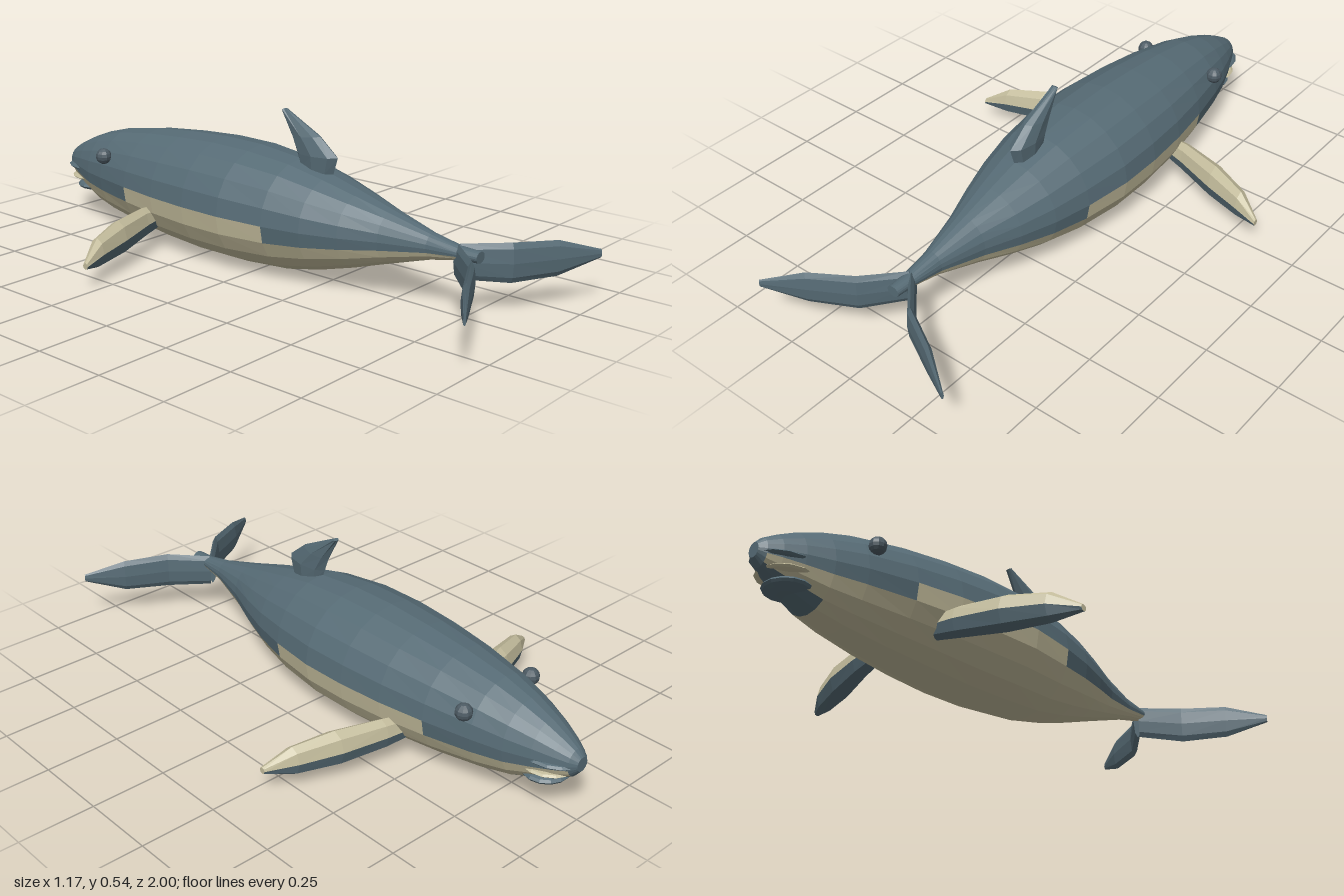
import * as THREE from 'three';

const mat = (name, color) => {
  const m = new THREE.MeshStandardMaterial({ color, flatShading: true });
  m.name = name;
  return m;
};

// Skin a list of closed rings of Vector3; pick(i, j) gives the material index of a facet.
function loft(name, rings, mats, pick = () => 0) {
  const buckets = mats.map(() => []);
  const n = rings[0].length;
  for (let i = 0; i < rings.length - 1; i++) {
    for (let j = 0; j < n; j++) {
      const k = (j + 1) % n;
      const [a, b, c, d] = [rings[i][j], rings[i][k], rings[i + 1][k], rings[i + 1][j]];
      buckets[pick(i, j)].push([a, b, c], [a, c, d]);
    }
  }
  const last = rings[rings.length - 1];
  for (let j = 1; j < n - 1; j++) {
    buckets[0].push([rings[0][0], rings[0][j + 1], rings[0][j]], [last[0], last[j], last[j + 1]]);
  }
  // Turn every facet outward according to the sign of the enclosed volume
  const volume = buckets.flat().reduce((s, [a, b, c]) => s + a.dot(b.clone().cross(c)), 0);
  const points = [];
  const geo = new THREE.BufferGeometry();
  buckets.forEach((tris, m) => {
    geo.addGroup(points.length, tris.length * 3, m);
    tris.forEach(([a, b, c]) => points.push(a, ...(volume > 0 ? [b, c] : [c, b])));
  });
  geo.setFromPoints(points);
  geo.computeVertexNormals();
  const mesh = new THREE.Mesh(geo, mats);
  mesh.name = name;
  return mesh;
}

// Ring of n points; place(cos, sin) maps the unit circle into space.
const ring = (n, place) => Array.from({ length: n }, (_, j) => {
  const t = (j / n) * Math.PI * 2;
  return new THREE.Vector3(...place(Math.cos(t), Math.sin(t)));
});

export function createModel() {
  const group = new THREE.Group();
  const dark = mat('slate blue', 0x566b75);
  const cream = mat('belly cream', 0xc2bb9b);
  const eyeGrey = mat('eye grey', 0x4d5b64);

  // Body: z, top y, bottom y, half width
  const sections = [
    [-1, 0.222, 0.175, 0.022], [-0.98, 0.243, 0.15, 0.04], [-0.94, 0.267, 0.128, 0.062],
    [-0.88, 0.297, 0.1, 0.088], [-0.8, 0.328, 0.068, 0.118], [-0.7, 0.356, 0.047, 0.147],
    [-0.54, 0.381, 0.027, 0.182], [-0.38, 0.396, 0.013, 0.207], [-0.22, 0.405, 0.004, 0.22],
    [-0.06, 0.403, 0.005, 0.221], [0.11, 0.385, 0.016, 0.197], [0.24, 0.355, 0.042, 0.167],
    [0.36, 0.322, 0.075, 0.127], [0.48, 0.287, 0.113, 0.08], [0.63, 0.245, 0.16, 0.038],
    [0.73, 0.225, 0.182, 0.026], [0.8, 0.222, 0.186, 0.022],
  ];
  const N = 20;
  const bodyRings = sections.map(([z, top, bottom, w]) =>
    ring(N, (c, s) => [w * c, (top + bottom) / 2 + ((top - bottom) / 2) * s, z]));
  group.add(loft('body', bodyRings, [dark, cream], (i, j) => {
    const low = j - N / 2;               // facets 0..9 run along the underside
    if (low < 0 || i >= 15 || i < 1) return 0;
    const edge = low === 0 || low === N / 2 - 1;
    if (edge) return i >= 6 && i < 10 ? 1 : 0;
    if (i < 4 && low >= 3 && low <= 6) return 0;   // dark chin
    return 1;
  }));

  // Lips: flat rounded ledges around the snout
  const lip = (name, m, y, z, w, h, len) => {
    const mesh = new THREE.Mesh(new THREE.SphereGeometry(1, 14, 8), m);
    mesh.name = name;
    mesh.scale.set(w, h, len);
    mesh.position.set(0, y, z);
    group.add(mesh);
  };
  lip('upperLip', dark, 0.19, -0.89, 0.088, 0.016, 0.108);
  lip('lowerLip', cream, 0.153, -0.885, 0.088, 0.014, 0.09);
  lip('chin', dark, 0.12, -0.875, 0.078, 0.02, 0.075);

  // Dorsal fin, leaning toward the head: y and z of rear edge, y and z of front edge, half thickness
  const dorsal = [
    [0.355, 0.245, 0.365, 0.11, 0.03], [0.41, 0.262, 0.405, 0.095, 0.033],
    [0.468, 0.19, 0.455, 0.075, 0.027], [0.54, 0.045, 0.535, 0.034, 0.012],
  ];
  group.add(loft('dorsalFin', dorsal.map(([y0, z0, y1, z1, t]) =>
    ring(8, (c, s) => [t * s, (y0 + y1) / 2 + ((y0 - y1) / 2) * c, (z0 + z1) / 2 + ((z0 - z1) / 2) * c])),
  [dark]));

  // Paired parts. Flippers: x, y, z, half height, half depth. Flukes: x, z, top y, bottom y
  const flipper = [
    [0.14, 0.112, -0.425, 0.042, 0.028], [0.22, 0.111, -0.408, 0.052, 0.034],
    [0.37, 0.105, -0.362, 0.06, 0.043], [0.5, 0.096, -0.318, 0.049, 0.033],
    [0.585, 0.08, -0.28, 0.011, 0.011],
  ];
  const fluke = [
    [0.004, 0.725, 0.23, 0.118], [0.11, 0.84, 0.232, 0.105],
    [0.25, 0.915, 0.222, 0.108], [0.372, 0.993, 0.18, 0.153],
  ];
  for (const side of [1, -1]) {
    const label = side > 0 ? 'left' : 'right';
    group.add(loft(label + 'Flipper', flipper.map(([x, y, z, h, d]) =>
      ring(8, (c, s) => [side * x, y + h * s, z + d * c])),
    [cream, dark], (i, j) => (j >= 4 ? 1 : 0)));

    group.add(loft(label + 'Fluke', fluke.map(([x, z, top, bottom], i) => {
      const t = i === 3 ? 0.004 : 0.012;
      return ring(8, (c, s) => [side * (x + t * 0.6 * c), (top + bottom) / 2 + ((top - bottom) / 2) * s, z - t * c]);
    }), [dark]));

    const eye = new THREE.Mesh(new THREE.SphereGeometry(0.028, 10, 8), eyeGrey);
    eye.name = label + 'Eye';
    eye.position.set(side * 0.148, 0.285, -0.675);
    group.add(eye);
  }
  return group;
}
